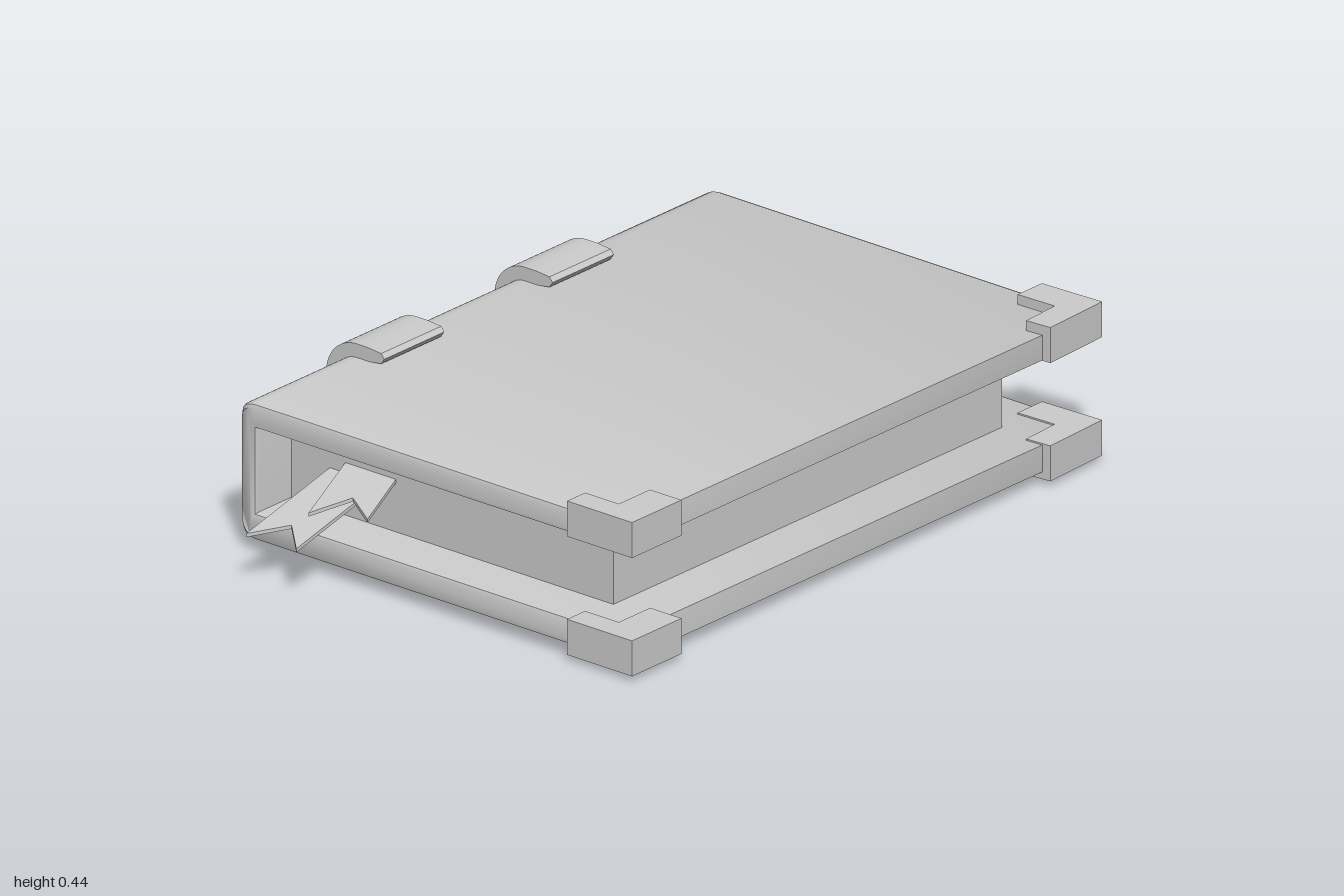
import * as THREE from 'three';
import { toCreasedNormals } from 'three/addons/utils/BufferGeometryUtils.js';

const material = new THREE.MeshStandardMaterial({ color: 0xcccccc });

function add(group, name, geometry) {
  const mesh = new THREE.Mesh(toCreasedNormals(geometry, 0.6), material);
  mesh.name = name;
  group.add(mesh);
  return mesh;
}

// Flat plate from an (x, z) outline whose upper face lies at y = top
function plate(outline, top, height) {
  const shape = new THREE.Shape(outline.map(([x, z]) => new THREE.Vector2(x, z)));
  const geometry = new THREE.ExtrudeGeometry(shape, { depth: height, bevelEnabled: false });
  geometry.rotateX(Math.PI / 2);
  geometry.translate(0, top, 0);
  return geometry;
}

// Wrap-around cover with softened edges and spine ends rounded in plan
function coverGeometry() {
  const s = new THREE.Shape();
  s.moveTo(0.63, 0.035);
  s.lineTo(0.63, 0.108);
  s.lineTo(-0.575, 0.108);
  s.lineTo(-0.575, 0.337);
  s.lineTo(0.63, 0.337);
  s.lineTo(0.63, 0.405);
  s.absarc(-0.575, 0.335, 0.07, Math.PI / 2, Math.PI, false);
  s.absarc(-0.575, 0.105, 0.07, Math.PI, Math.PI * 1.5, false);
  const bevel = 0.012;
  const geometry = new THREE.ExtrudeGeometry(s, {
    depth: 1.79 - 2 * bevel, bevelSize: bevel, bevelThickness: bevel,
    bevelOffset: -bevel, bevelSegments: 2, curveSegments: 10,
  });
  geometry.translate(0, 0, -0.97 + bevel);
  const p = geometry.attributes.position;
  const r = 0.05, mid = -0.075;
  for (let i = 0; i < p.count; i++) {
    const d = Math.min(r, Math.max(0, -0.595 - p.getX(i)));
    const pull = r - Math.sqrt(r * r - d * d);
    const z = p.getZ(i);
    p.setZ(i, z - Math.sign(z - mid) * pull);
  }
  return geometry;
}

// Raised strap around the spine
function bandGeometry(z0, z1) {
  const s = new THREE.Shape();
  s.moveTo(-0.495, 0.41);
  s.lineTo(-0.485, 0.425);
  s.lineTo(-0.495, 0.438);
  s.lineTo(-0.54, 0.442);
  s.absarc(-0.575, 0.342, 0.1, Math.PI / 2, Math.PI, false);
  s.absarc(-0.575, 0.1, 0.1, Math.PI, Math.PI * 1.5, false);
  s.lineTo(-0.54, 0);
  s.lineTo(-0.495, 0.006);
  s.lineTo(-0.485, 0.018);
  s.lineTo(-0.495, 0.032);
  s.lineTo(-0.54, 0.036);
  s.absarc(-0.575, 0.106, 0.068, Math.PI * 1.5, Math.PI, true);
  s.absarc(-0.575, 0.334, 0.068, Math.PI, Math.PI / 2, true);
  s.lineTo(-0.54, 0.404);
  const geometry = new THREE.ExtrudeGeometry(s, { depth: z1 - z0, bevelEnabled: false, curveSegments: 10 });
  geometry.translate(0, 0, z0);
  return geometry;
}

// Swallow-tailed ribbon sloping down as it leaves the pages
function ribbonGeometry(outline, top, slope) {
  const geometry = plate(outline, top, 0.01);
  const p = geometry.attributes.position;
  for (let i = 0; i < p.count; i++) p.setY(i, p.getY(i) - slope * (p.getZ(i) - 0.68));
  return geometry;
}

export function createModel() {
  const book = new THREE.Group();
  book.name = 'book';

  add(book, 'cover', coverGeometry());

  // Page block
  const pages = new THREE.BoxGeometry(1.06, 0.24, 1.49);
  pages.translate(-0.05, 0.222, -0.065);
  add(book, 'pages', pages);

  // Spine straps
  for (const [z0, z1] of [[-0.45, -0.215], [0.2, 0.43]]) add(book, 'spineBand', bandGeometry(z0, z1));

  // L-shaped corner guards on both boards
  const frontL = [[0.46, 0.835], [0.46, 0.765], [0.57, 0.765], [0.57, 0.645], [0.673, 0.645], [0.673, 0.835]];
  const backL = [[0.455, -0.992], [0.645, -1], [0.655, -0.79], [0.58, -0.785], [0.573, -0.902], [0.455, -0.898]];
  for (const [outline, side] of [[frontL, 'front'], [backL, 'back']]) {
    add(book, side + 'UpperCorner', plate(outline, 0.432, 0.096));
    add(book, side + 'LowerCorner', plate(outline, 0.112, 0.096));
  }

  // Ribbon bookmarks
  add(book, 'lowerRibbon', ribbonGeometry(
    [[-0.45, 0.62], [-0.29, 0.62], [-0.29, 0.995], [-0.37, 0.92], [-0.45, 1]], 0.222, 0.235));
  add(book, 'upperRibbon', ribbonGeometry(
    [[-0.41, 0.64], [-0.245, 0.64], [-0.185, 0.845], [-0.28, 0.79], [-0.34, 0.89]], 0.25, 0.25));

  return book;
}
